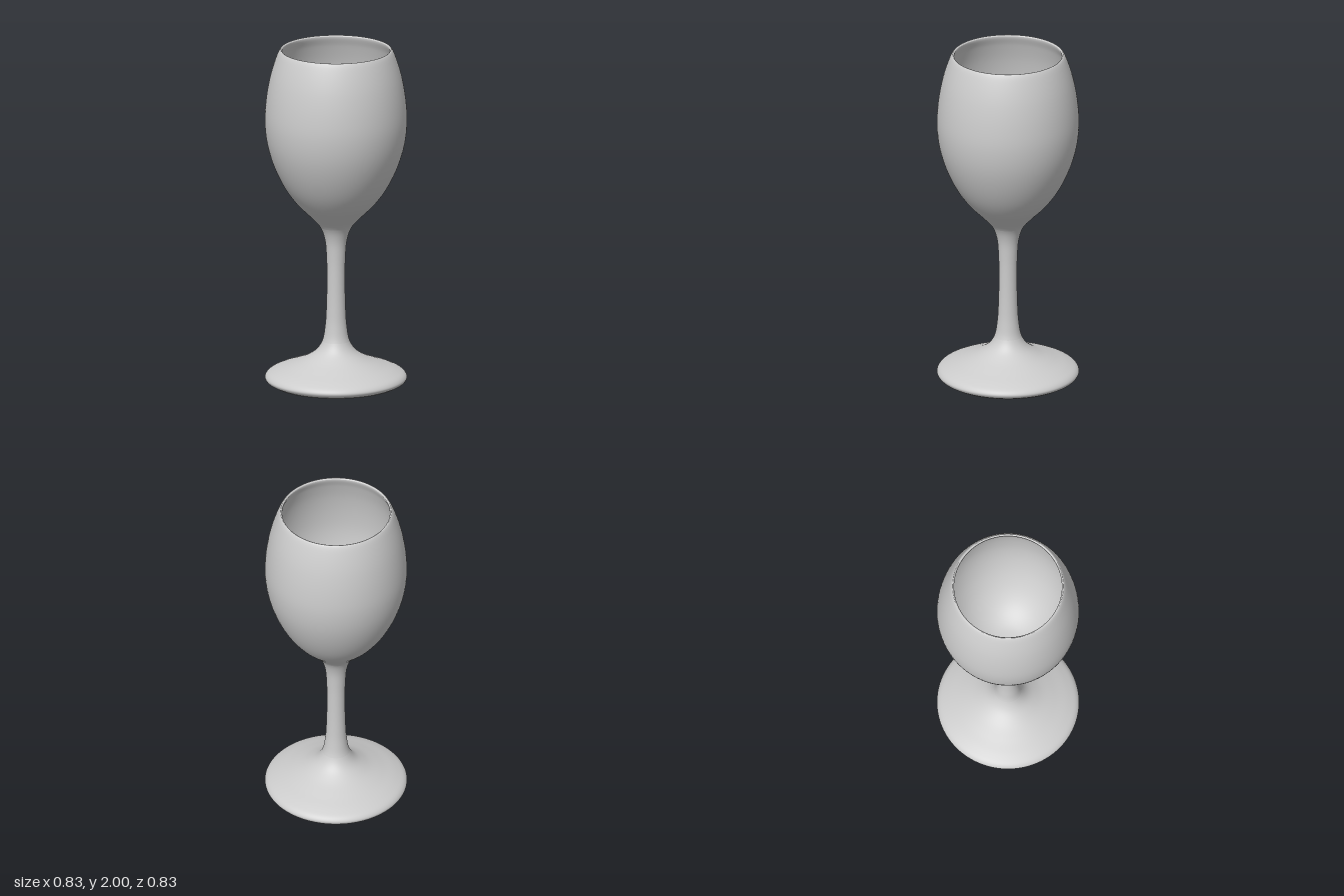
import * as THREE from 'three';

const STEPS = 6; // curve samples between neighbouring profile points
const SIDES = 96;

// Outer silhouette [radius, height] from the foot's lower edge, over the rim, to the bowl floor
const profile = [
  [0.385, 0.006], [0.405, 0.018], [0.413, 0.035], [0.4, 0.056], [0.355, 0.08], [0.27, 0.112], [0.18, 0.15],
  [0.115, 0.195], [0.08, 0.25], [0.063, 0.34], [0.056, 0.45], [0.053, 0.6], [0.055, 0.75],
  [0.065, 0.86], [0.092, 0.935], [0.15, 1.0], [0.225, 1.075], [0.295, 1.17], [0.355, 1.29],
  [0.396, 1.42], [0.413, 1.55], [0.408, 1.68], [0.386, 1.82], [0.355, 1.93], [0.329, 1.993],
  [0.321, 2.0], [0.313, 1.993],
  [0.335, 1.93], [0.366, 1.82], [0.388, 1.68], [0.393, 1.55], [0.376, 1.42], [0.335, 1.29],
  [0.27, 1.175], [0.19, 1.095], [0.1, 1.05], [0, 1.035],
];
const FOOT_END = 8, STEM_END = 14, OUTSIDE_END = 24, RIM_END = 26;

export function createModel() {
  const group = new THREE.Group();
  group.name = 'goblet';
  const grey = new THREE.MeshStandardMaterial({ color: 0xcccccc });
  grey.name = 'plain grey';

  const curve = new THREE.CatmullRomCurve3(
    profile.map(([r, y]) => new THREE.Vector3(r, y, 0)), false, 'centripetal');
  const points = curve.getPoints((profile.length - 1) * STEPS)
    .map(p => new THREE.Vector2(Math.max(p.x, 0), p.y));

  const addLathe = (name, pts) => {
    const mesh = new THREE.Mesh(new THREE.LatheGeometry(pts, SIDES), grey);
    mesh.name = name;
    group.add(mesh);
  };
  const section = (from, to) => points.slice(from * STEPS, to * STEPS + 1);

  // Flat underside with a crisp edge
  addLathe('underside', [new THREE.Vector2(0, 0), new THREE.Vector2(0.375, 0), points[0].clone()]);
  // Flared foot, slim stem and egg-shaped bowl share one continuous curve
  addLathe('foot', section(0, FOOT_END));
  addLathe('stem', section(FOOT_END, STEM_END));
  addLathe('bowlOutside', section(STEM_END, OUTSIDE_END));
  addLathe('rim', section(OUTSIDE_END, RIM_END));
  addLathe('bowlInside', section(RIM_END, profile.length - 1));
  return group;
}
